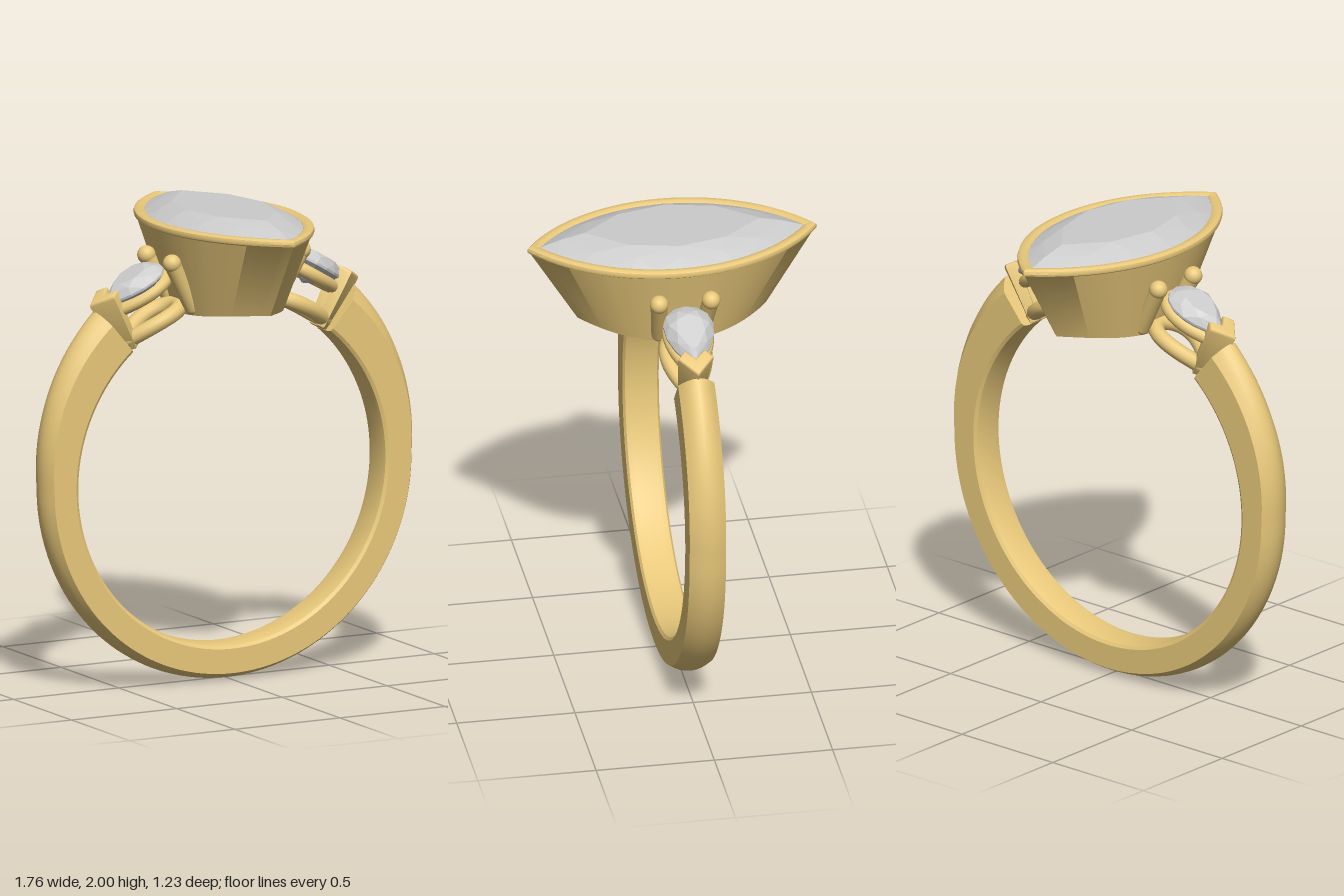
import * as THREE from 'three';
import { toCreasedNormals } from 'three/addons/utils/BufferGeometryUtils.js';
import { ConvexGeometry } from 'three/addons/geometries/ConvexGeometry.js';

const V = (x, y, z) => new THREE.Vector3(x, y, z);
const CY = 0.875, INNER = 0.725; // ring centre height and finger radius
const gold = new THREE.MeshStandardMaterial({ color: 0xe8c87a });
const gem = new THREE.MeshStandardMaterial({ color: 0xcccccc, flatShading: true });

function add(parent, name, geometry, material = gold) {
  const mesh = new THREE.Mesh(geometry, material);
  mesh.name = name;
  parent.add(mesh);
  return mesh;
}

// Skin over a list of closed rings with equal point counts
function loft(rings, crease = 0.5, closed = false) {
  const n = rings[0].length, pos = [], idx = [];
  rings.forEach(r => r.forEach(p => pos.push(p.x, p.y, p.z)));
  const last = closed ? rings.length : rings.length - 1;
  for (let i = 0; i < last; i++) {
    const a = i * n, b = ((i + 1) % rings.length) * n;
    for (let j = 0; j < n; j++) {
      const k = (j + 1) % n;
      idx.push(a + j, a + k, b + k, a + j, b + k, b + j);
    }
  }
  const g = new THREE.BufferGeometry();
  g.setAttribute('position', new THREE.Float32BufferAttribute(pos, 3));
  g.setIndex(idx);
  return toCreasedNormals(g, crease);
}

// Pointed oval made of two arcs; y is a number or a function of x
function marquise(a, b, y, n) {
  const R = (a * a + b * b) / (2 * a), phi = Math.asin(b / R), pts = [];
  for (const s of [1, -1]) {
    for (let i = 0; i < n; i++) {
      const f = phi * (1 - 2 * i / n);
      const x = s * (R * Math.cos(f) - R + a);
      pts.push(V(x, typeof y === 'function' ? y(x) : y, s * R * Math.sin(f)));
    }
  }
  return pts;
}

// Teardrop with its point at +u
function pear(L, W, n, turn = 0) {
  return Array.from({ length: n }, (_, i) => {
    const t = (i + turn) / n * Math.PI * 2;
    return [L * Math.cos(t), W / 0.8 * Math.sin(t) * Math.pow(Math.sin(t / 2), 0.8)];
  });
}

function tubeThrough(points, radius) {
  const curve = new THREE.CatmullRomCurve3(points, true);
  return new THREE.TubeGeometry(curve, 72, radius, 12, true);
}

// Band that thickens and peaks towards its open top
function shankGeometry() {
  const rings = [], N = 120, start = 130, sweep = 280;
  for (let i = 0; i <= N; i++) {
    const deg = start + sweep * i / N, th = deg * Math.PI / 180;
    const t = Math.max(0, Math.sin(th)) / Math.sin(50 * Math.PI / 180);
    const ro = 0.875 + 0.082 * Math.pow(t, 1.15), drop = 0.028 + 0.04 * t * t;
    const section = [];
    for (let k = 0; k <= 8; k++) {
      const s = 1 - k / 4;
      section.push([ro - drop * s * s, 0.077 * s]);
    }
    section.push([INNER + 0.018, -0.077], [INNER + 0.005, -0.068], [INNER, -0.045],
      [INNER, 0.045], [INNER + 0.005, 0.068], [INNER + 0.018, 0.077]);
    const at = (r, z) => V(r * Math.cos(th), CY + r * Math.sin(th), z);
    const ring = section.map(([r, z]) => at(r, z));
    const cap = section.map(() => at((INNER + ro) / 2, 0));
    if (i === 0) rings.push(cap);
    rings.push(ring);
    if (i === N) rings.push(cap);
  }
  return loft(rings, 0.45);
}

// Hollow flared bezel with a rolled lip, its foot cut to the finger curve
function bezelGeometry() {
  const foot = x => CY + Math.sqrt(INNER * INNER - x * x);
  const profile = [
    [0.215, 0.40, foot], [0.314, 0.598, 1.922], [0.323, 0.609, 1.928], [0.326, 0.613, 1.938],
    [0.323, 0.609, 1.949], [0.312, 0.597, 1.956], [0.292, 0.575, 1.956], [0.278, 0.558, 1.948],
    [0.275, 0.555, 1.92], [0.155, 0.32, foot]
  ];
  return loft(profile.map(([a, b, y]) => marquise(a, b, y, 28)), 0.6, true);
}

function centreStoneGeometry() {
  return new ConvexGeometry([
    ...marquise(0.18, 0.37, 2.0, 4),
    ...marquise(0.232, 0.475, 1.976, 6),
    ...marquise(0.284, 0.565, 1.945, 12),
    ...marquise(0.282, 0.562, 1.93, 12),
    ...marquise(0.15, 0.32, 1.83, 4),
    V(0, 1.76, 0.1), V(0, 1.76, -0.1)
  ]);
}

// One shoulder: tilted pear stone, its rails and its prongs
function shoulder(name) {
  const g = new THREE.Group();
  g.name = name;

  const seat = new THREE.Group();
  seat.name = 'sideStoneSeat';
  seat.position.set(0.42, 1.705, 0);
  seat.rotation.z = -Math.PI / 6;
  g.add(seat);

  const layer = (L, W, y, n, turn) => pear(L, W, n, turn).map(([u, v]) => V(u + 0.012, y, v));
  add(seat, 'sideStone', new ConvexGeometry([
    ...layer(0.085, 0.062, 0.056, 8, 0),
    ...layer(0.118, 0.086, 0.04, 8, 0.5),
    ...layer(0.148, 0.106, 0.012, 16, 0),
    ...layer(0.148, 0.106, 0.002, 16, 0),
    ...layer(0.07, 0.05, -0.05, 8, 0.5),
    V(-0.01, -0.085, 0)
  ]), gem);

  add(seat, 'upperRail', tubeThrough(
    pear(0.14, 0.08, 28).map(([u, v]) => V(u + 0.01, -0.04, v)), 0.028));

  // V-shaped prong holding the point of the stone
  const chevron = new THREE.Shape([
    [0.21, 0], [0.14, 0.062], [0.115, 0.042], [0.155, 0], [0.115, -0.042], [0.14, -0.062]
  ].map(p => new THREE.Vector2(...p)));
  const vProng = new THREE.ExtrudeGeometry(chevron, {
    depth: 0.24, bevelEnabled: true, bevelSize: 0.011, bevelThickness: 0.014, bevelSegments: 3
  });
  vProng.rotateX(-Math.PI / 2);
  // narrow the foot of the prong
  const p = vProng.attributes.position;
  for (let i = 0; i < p.count; i++) {
    const f = 0.72 + 0.28 * Math.min(1, Math.max(0, p.getY(i) / 0.2));
    p.setX(i, 0.18 + (p.getX(i) - 0.18) * f);
    p.setZ(i, p.getZ(i) * f);
  }
  add(seat, 'pointProng', toCreasedNormals(vProng, 0.6)).position.y = -0.2;

  // lower rail follows the finger curve
  add(g, 'lowerRail', tubeThrough(pear(0.19, 0.078, 28).map(([u, v]) => {
    const th = 62 * Math.PI / 180 - u, r = INNER + 0.034;
    return V(r * Math.cos(th), CY + r * Math.sin(th), v);
  }), 0.034));

  // round prongs on the wide end of the stone
  for (const s of [1, -1]) {
    const top = V(0.308, 1.802, s * 0.11), foot = V(0.2, 1.605, s * 0.09);
    const dir = top.clone().sub(foot);
    const prong = add(g, 'roundProng', new THREE.CapsuleGeometry(0.035, dir.length(), 8, 20));
    prong.position.copy(top).add(foot).multiplyScalar(0.5);
    prong.quaternion.setFromUnitVectors(V(0, 1, 0), dir.normalize());
    const tip = add(g, 'prongTip', new THREE.SphereGeometry(0.039, 20, 14));
    tip.position.copy(top);
  }
  return g;
}

export function createModel() {
  const model = new THREE.Group();
  model.name = 'ring';
  add(model, 'shank', shankGeometry());
  add(model, 'bezel', bezelGeometry());
  add(model, 'centreStone', centreStoneGeometry(), gem);
  const left = shoulder('leftShoulder'), right = shoulder('rightShoulder');
  right.rotation.y = Math.PI;
  model.add(left, right);
  return model;
}
